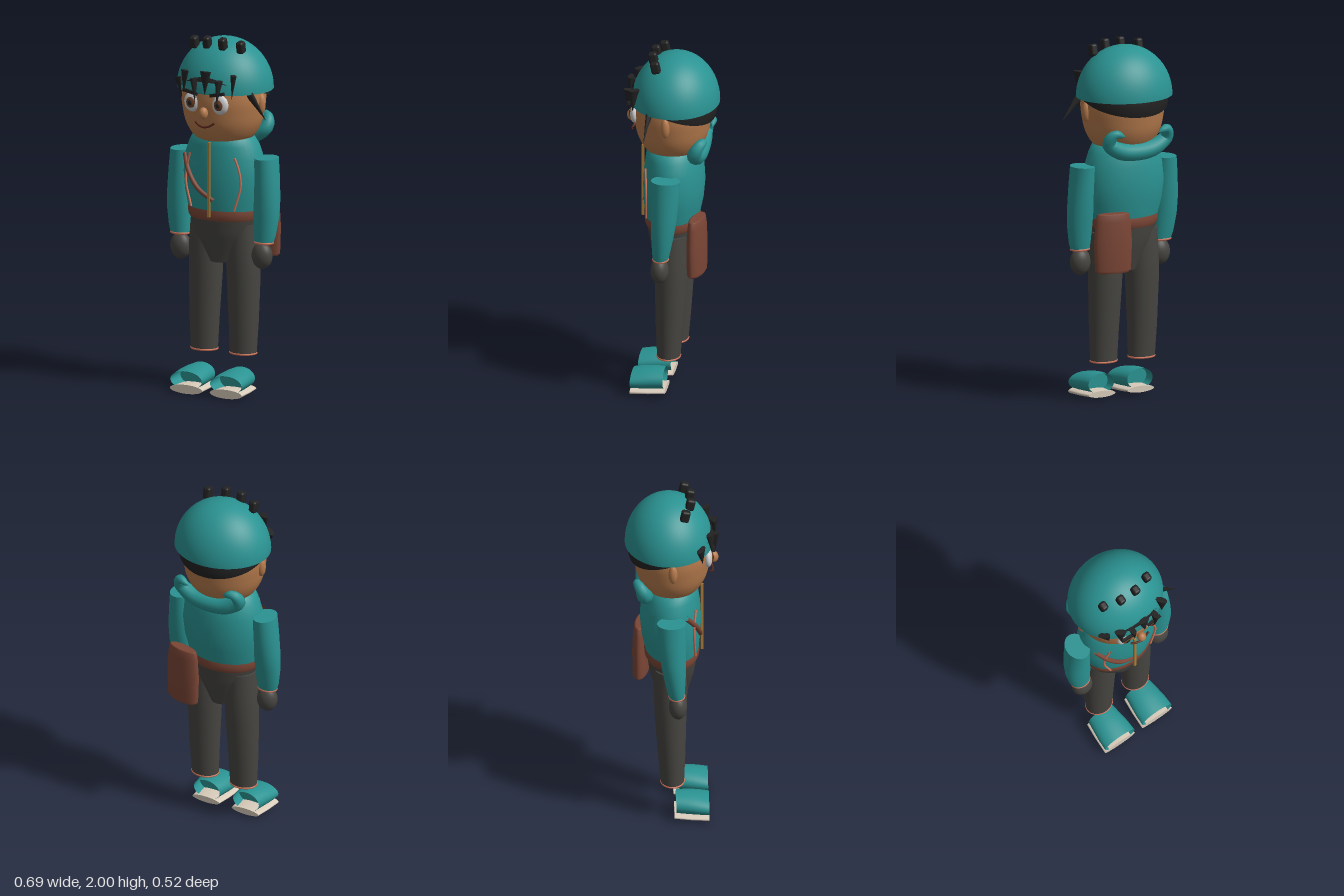
import * as THREE from 'three';
import { RoundedBoxGeometry } from 'three/addons/geometries/RoundedBoxGeometry.js';

const mat = (color) => new THREE.MeshStandardMaterial({ color, side: THREE.DoubleSide });
const V = (p) => new THREE.Vector3(...p);

export function createModel() {
  const root = new THREE.Group();
  const teal = mat(0x2a9392), skin = mat(0xb57a4c), dark = mat(0x464541), black = mat(0x222222);
  const brown = mat(0x7b4636), salmon = mat(0xd0755a), cream = mat(0xd8cbba), gold = mat(0xb08038);
  const white = mat(0xeeeeee), iris = mat(0x6b3f26);

  function add(name, geo, material, pos = [0, 0, 0], parent = root) {
    const m = new THREE.Mesh(geo, material);
    m.name = name;
    m.position.set(...pos);
    parent.add(m);
    return m;
  }

  function ellipsoid(name, material, pos, r, parent) {
    const m = add(name, new THREE.SphereGeometry(1, 32, 20), material, pos, parent);
    m.scale.set(...r);
    return m;
  }

  // Elliptical cross-sections [y, rx, rz, cx, cz], listed from bottom to top
  function loft(sections, caps = true, n = 40) {
    const pos = [], idx = [];
    const ring = ([y, rx, rz, cx = 0, cz = 0]) => {
      for (let j = 0; j < n; j++) {
        const a = (j / n) * Math.PI * 2;
        pos.push(cx + rx * Math.cos(a), y, cz + rz * Math.sin(a));
      }
    };
    sections.forEach(ring);
    for (let i = 0; i < sections.length - 1; i++) for (let j = 0; j < n; j++) {
      const a = i * n + j, b = i * n + (j + 1) % n;
      idx.push(a, a + n, b, b, a + n, b + n);
    }
    if (caps) [sections[0], sections.at(-1)].forEach((s, top) => {
      const start = pos.length / 3;
      ring(s);
      pos.push(s[3] ?? 0, s[0], s[4] ?? 0);
      for (let j = 0; j < n; j++) {
        const a = start + j, b = start + (j + 1) % n;
        idx.push(start + n, top ? b : a, top ? a : b);
      }
    });
    const g = new THREE.BufferGeometry();
    g.setAttribute('position', new THREE.Float32BufferAttribute(pos, 3));
    g.setIndex(idx);
    g.computeVertexNormals();
    return g;
  }

  function tube(name, material, points, r, taper = false) {
    const curve = new THREE.CatmullRomCurve3(points.map(V));
    const g = new THREE.TubeGeometry(curve, 40, r, 12);
    if (taper) {
      // Narrow the tube towards both ends
      const p = g.attributes.position, v = new THREE.Vector3();
      for (let i = 0; i < p.count; i++) {
        const t = Math.floor(i / 13) / 40, c = curve.getPointAt(t);
        v.fromBufferAttribute(p, i).sub(c).multiplyScalar(Math.sqrt(Math.sin(Math.PI * t) + 0.002)).add(c);
        p.setXYZ(i, v.x, v.y, v.z);
      }
      g.computeVertexNormals();
    }
    return add(name, g, material);
  }

  // Cone from a wide base to a tip
  function spike(name, base, tip, r, flat = 0.5) {
    const a = V(base), b = V(tip), d = b.clone().sub(a);
    const g = new THREE.ConeGeometry(r, d.length(), 12);
    g.scale(1, 1, flat);
    const m = add(name, g, black, a.clone().add(b).multiplyScalar(0.5).toArray());
    m.quaternion.setFromUnitVectors(new THREE.Vector3(0, 1, 0), d.normalize());
    return m;
  }

  // Head
  const headProfile = [[0, 1.39], [0.1, 1.397], [0.165, 1.43], [0.21, 1.5], [0.23, 1.58], [0.238, 1.67], [0.215, 1.78], [0.13, 1.87], [0, 1.9]];
  const headCurve = new THREE.SplineCurve(headProfile.map((p) => new THREE.Vector2(...p))).getPoints(40);
  headCurve.forEach((p) => { p.x = Math.max(p.x, 0); });
  add('head', new THREE.LatheGeometry(headCurve, 48), skin).scale.z = 0.9;
  for (const s of [-1, 1]) {
    ellipsoid('ear', skin, [s * 0.235, 1.63, 0], [0.025, 0.057, 0.025]);
    ellipsoid('eyeWhite', white, [s * 0.087, 1.645, 0.195], [0.05, 0.055, 0.026]);
    ellipsoid('iris', iris, [s * 0.087, 1.645, 0.214], [0.028, 0.031, 0.012]);
    ellipsoid('pupil', black, [s * 0.087, 1.645, 0.222], [0.013, 0.015, 0.007]);
    const brow = add('eyebrow', new THREE.BoxGeometry(0.09, 0.017, 0.015), black, [s * 0.085, 1.707, 0.225]);
    brow.rotation.z = s * 0.2;
  }
  ellipsoid('nose', skin, [0, 1.595, 0.228], [0.025, 0.034, 0.027]);
  tube('mouth', mat(0x59281e), [[-0.058, 1.54, 0.212], [-0.03, 1.523, 0.22], [0, 1.517, 0.225], [0.03, 1.523, 0.22], [0.058, 1.54, 0.212]], 0.006);

  // Helmet, the hair under its back rim and the tufts on top
  const dome = new THREE.SphereGeometry(1, 48, 20, 0, Math.PI * 2, 0, Math.PI / 2);
  add('helmet', dome, teal, [0, 1.7, -0.017]).scale.set(0.273, 0.28, 0.242);
  const hair = add('backHair', dome, black, [0, 1.69, -0.005]);
  hair.scale.set(0.252, 0.22, 0.24);
  hair.rotation.x = -0.33;
  for (const [x, y, z] of [[-0.145, 1.951, 0.07], [-0.048, 1.965, 0.1], [0.05, 1.965, 0.1], [0.147, 1.951, 0.07]]) {
    const tuft = add('hairTuft', new RoundedBoxGeometry(0.043, 0.068, 0.05, 4, 0.014), black, [x, y, z]);
    tuft.rotation.x = 0.2;
  }

  // Fringe spikes: base x, base y, tip x, tip y, z
  for (const [x, y, tx, ty, z] of [
    [-0.2, 1.765, -0.17, 1.655, 0.155], [-0.127, 1.82, -0.13, 1.695, 0.208], [-0.06, 1.785, -0.05, 1.655, 0.225],
    [0.015, 1.83, 0.015, 1.7, 0.23], [0.095, 1.785, 0.085, 1.65, 0.222], [0.165, 1.815, 0.16, 1.685, 0.185],
  ]) spike('fringeSpike', [x, y, z], [tx, ty, z + 0.01], 0.034);
  spike('sideLock', [0.2, 1.72, 0.095], [0.325, 1.565, 0.105], 0.03);
  spike('sideLock', [0.19, 1.72, 0.085], [0.29, 1.615, 0.1], 0.03);

  // Hooded top
  add('torso', loft([
    [0.98, 0.195, 0.14, 0, 0], [1.03, 0.208, 0.148], [1.12, 0.23, 0.162, 0, -0.005], [1.22, 0.24, 0.168, 0, -0.008],
    [1.32, 0.23, 0.162, 0, -0.008], [1.39, 0.205, 0.15, 0, -0.006], [1.43, 0.18, 0.138], [1.445, 0.15, 0.12],
  ]), teal);
  add('waistband', loft([[0.975, 0.198, 0.143], [0.99, 0.206, 0.15], [1.015, 0.21, 0.152], [1.035, 0.208, 0.148]]), brown);
  tube('hood', teal, [[-0.11, 1.51, -0.2], [-0.165, 1.525, -0.19], [-0.185, 1.47, -0.155], [-0.11, 1.42, -0.15], [0, 1.405, -0.15],
    [0.11, 1.42, -0.15], [0.185, 1.47, -0.155], [0.165, 1.525, -0.19], [0.11, 1.51, -0.2]], 0.05, true);
  add('zipper', new THREE.BoxGeometry(0.014, 0.42, 0.014), gold, [0, 1.21, 0.165]);
  for (const s of [-1, 1])
    tube('drawstring', salmon, [[s * 0.14, 1.34, 0.128], [s * 0.165, 1.26, 0.12], [s * 0.172, 1.18, 0.118], [s * 0.135, 1.04, 0.125]], 0.006);
  tube('shoulderStrap', brown, [[-0.2, 1.32, 0.075], [-0.15, 1.24, 0.127], [-0.08, 1.155, 0.152], [0.02, 1.09, 0.152]], 0.014);

  // Satchel
  const bag = add('satchel', loft([
    [-0.165, 0.09, 0.036], [-0.15, 0.104, 0.043], [0, 0.11, 0.045], [0.12, 0.102, 0.04], [0.16, 0.094, 0.034], [0.165, 0.085, 0.028],
  ]), brown, [0.165, 0.915, -0.165]);
  bag.rotation.y = -0.2;

  // Hips
  add('hips', loft([
    [0.73, 0.07, 0.085], [0.8, 0.115, 0.103], [0.87, 0.16, 0.122], [0.92, 0.185, 0.13], [0.985, 0.198, 0.138],
  ]), dark);

  for (const s of [-1, 1]) {
    const limb = new THREE.Group();
    limb.name = s > 0 ? 'leftLimbs' : 'rightLimbs';
    root.add(limb);
    // Arm, cuff and glove
    add('sleeve', loft([
      [0.86, 0.056, 0.043, s * 0.263, 0.02], [0.9, 0.064, 0.049, s * 0.267, 0.016], [1.0, 0.073, 0.062, s * 0.272, 0.008],
      [1.1, 0.074, 0.071, s * 0.272, 0], [1.22, 0.07, 0.077, s * 0.268, -0.005], [1.33, 0.063, 0.08, s * 0.264, -0.008],
    ]), teal, [0, 0, 0], limb);
    const cuff = add('cuff', new THREE.TorusGeometry(0.052, 0.007, 8, 32), salmon, [s * 0.263, 0.86, 0.02], limb);
    cuff.rotation.x = Math.PI / 2;
    cuff.scale.y = 0.8;
    add('wrist', new THREE.CylinderGeometry(0.02, 0.02, 0.06, 16), skin, [s * 0.258, 0.85, 0.025], limb);
    ellipsoid('glove', dark, [s * 0.256, 0.787, 0.027], [0.06, 0.075, 0.05], limb);
    // Trouser leg and hem
    add('leg', loft([
      [0.22, 0.077, 0.064, s * 0.122], [0.4, 0.085, 0.075, s * 0.123, -0.004], [0.65, 0.095, 0.087, s * 0.119, -0.01],
      [0.8, 0.097, 0.092, s * 0.115, -0.01], [0.95, 0.09, 0.088, s * 0.112, -0.01],
    ]), dark, [0, 0, 0], limb);
    const hem = add('hem', new THREE.TorusGeometry(0.075, 0.006, 8, 40), salmon, [s * 0.122, 0.223, 0], limb);
    hem.rotation.x = Math.PI / 2;
    hem.scale.y = 0.84;
    // Open-ended shoe over a shallow curved sole, lofted along z
    add('shoe', loft([
      [0.02, 0.082, 0.057, s * 0.125, -0.09], [0.08, 0.09, 0.059, s * 0.125, -0.088],
      [0.14, 0.097, 0.057, s * 0.125, -0.083], [0.2, 0.099, 0.05, s * 0.125, -0.077],
    ], false).rotateX(Math.PI / 2), teal, [0, 0, 0], limb);
    add('shoeInside', new THREE.CircleGeometry(1, 32), teal, [s * 0.125, 0.086, 0.1], limb).scale.set(0.092, 0.057, 1);
    add('sole', loft([
      [0.01, 0.085, 0.018, s * 0.125, -0.032], [0.1, 0.095, 0.022, s * 0.125, -0.028], [0.2, 0.101, 0.025, s * 0.125, -0.026],
    ]).rotateX(Math.PI / 2), cream, [0, 0, 0], limb);
  }
  return root;
}
